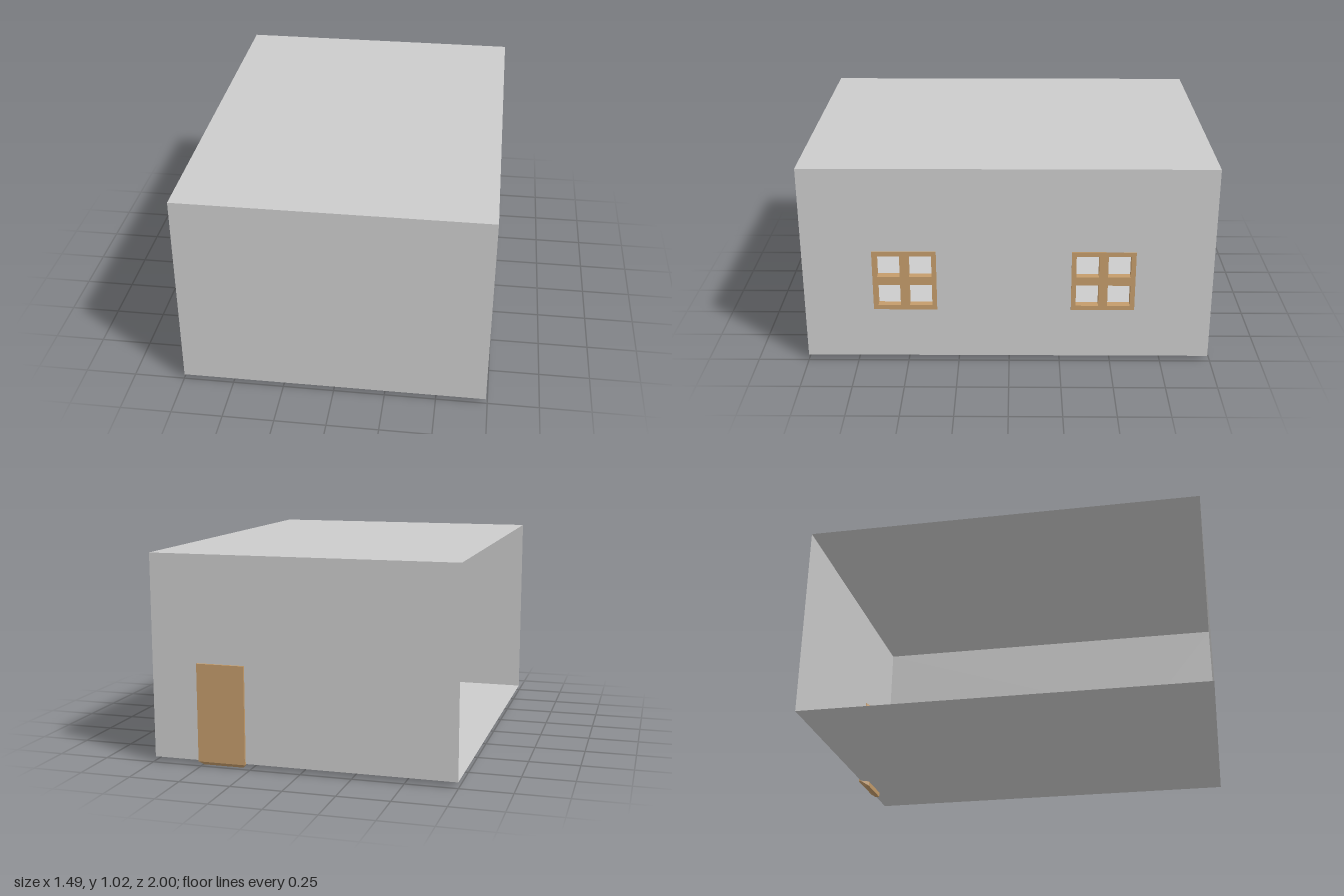
import * as THREE from 'three';
import { ConvexGeometry } from 'three/addons/geometries/ConvexGeometry.js';

const X0 = -0.747, X1 = 0.742, Y0 = 0.025, Y1 = 1.018, Z0 = -0.988, Z1 = 1;
const wallMat = new THREE.MeshStandardMaterial({ color: 0xcccccc, side: THREE.DoubleSide });
const woodMat = new THREE.MeshStandardMaterial({ color: 0xc49c6b });

// Rectangle outline; also used for holes
function rect(Type, x0, y0, x1, y1) {
  return new Type([[x0, y0], [x1, y0], [x1, y1], [x0, y1]].map(([x, y]) => new THREE.Vector2(x, y)));
}

function add(group, name, geometry, material) {
  const mesh = new THREE.Mesh(geometry, material);
  mesh.name = name;
  group.add(mesh);
  return mesh;
}

// Four-pane frame, extruded along z and centred on its own origin
function windowFrame(depth) {
  const h = 0.155, inner = 0.022, outer = 0.132;
  const shape = rect(THREE.Shape, -h, -h, h, h);
  for (const a of [-outer, inner])
    for (const b of [-outer, inner])
      shape.holes.push(rect(THREE.Path, a, b, a + outer - inner, b + outer - inner));
  return new THREE.ExtrudeGeometry(shape, { depth, bevelEnabled: false });
}

export function createModel() {
  const group = new THREE.Group();
  group.name = 'room';
  const w = X1 - X0, h = Y1 - Y0, d = Z1 - Z0;
  const cx = (X0 + X1) / 2, cy = (Y0 + Y1) / 2, cz = (Z0 + Z1) / 2;

  // Thin shell, open on the -x side
  add(group, 'frontWall', new THREE.PlaneGeometry(w, h).translate(cx, cy, Z1), wallMat);
  add(group, 'backWall', new THREE.PlaneGeometry(w, h).rotateY(Math.PI).translate(cx, cy, Z0), wallMat);
  add(group, 'ceiling', new THREE.PlaneGeometry(w, d).rotateX(-Math.PI / 2).translate(cx, Y1, cz), wallMat);
  add(group, 'floor', new THREE.PlaneGeometry(w, d).rotateX(Math.PI / 2).translate(cx, Y0, cz), wallMat);

  // Side wall with window openings, drawn in (-z, y) and turned to face +x
  const wall = rect(THREE.Shape, -Z1, Y0, -Z0, Y1);
  const windowZ = [0.507, -0.457], windowY = 0.439, r = 0.145;
  for (const z of windowZ)
    wall.holes.push(rect(THREE.Path, -z - r, windowY - r, -z + r, windowY + r));
  add(group, 'windowWall', new THREE.ShapeGeometry(wall).rotateY(Math.PI / 2).translate(X1, 0, 0), wallMat);

  // Window frames, reaching into the room
  const depth = 0.04;
  for (const z of windowZ) {
    const frame = add(group, 'windowFrame', windowFrame(depth), woodMat);
    frame.rotation.y = Math.PI / 2;
    frame.position.set(X1 + 0.005 - depth, windowY, z);
  }

  // Door through the back wall, wider on its outer face
  const sections = [
    [0.295, 0.495, 0, 0.475, -0.947],
    [0.295, 0.495, 0, 0.475, -0.97],
    [0.275, 0.512, 0.022, 0.5, -0.985],
    [0.275, 0.512, 0.022, 0.5, -1],
  ];
  const points = sections.flatMap(([a, b, lo, hi, z]) =>
    [[a, lo], [b, lo], [b, hi], [a, hi]].map(([x, y]) => new THREE.Vector3(x, y, z)));
  add(group, 'door', new ConvexGeometry(points), woodMat);

  return group;
}
